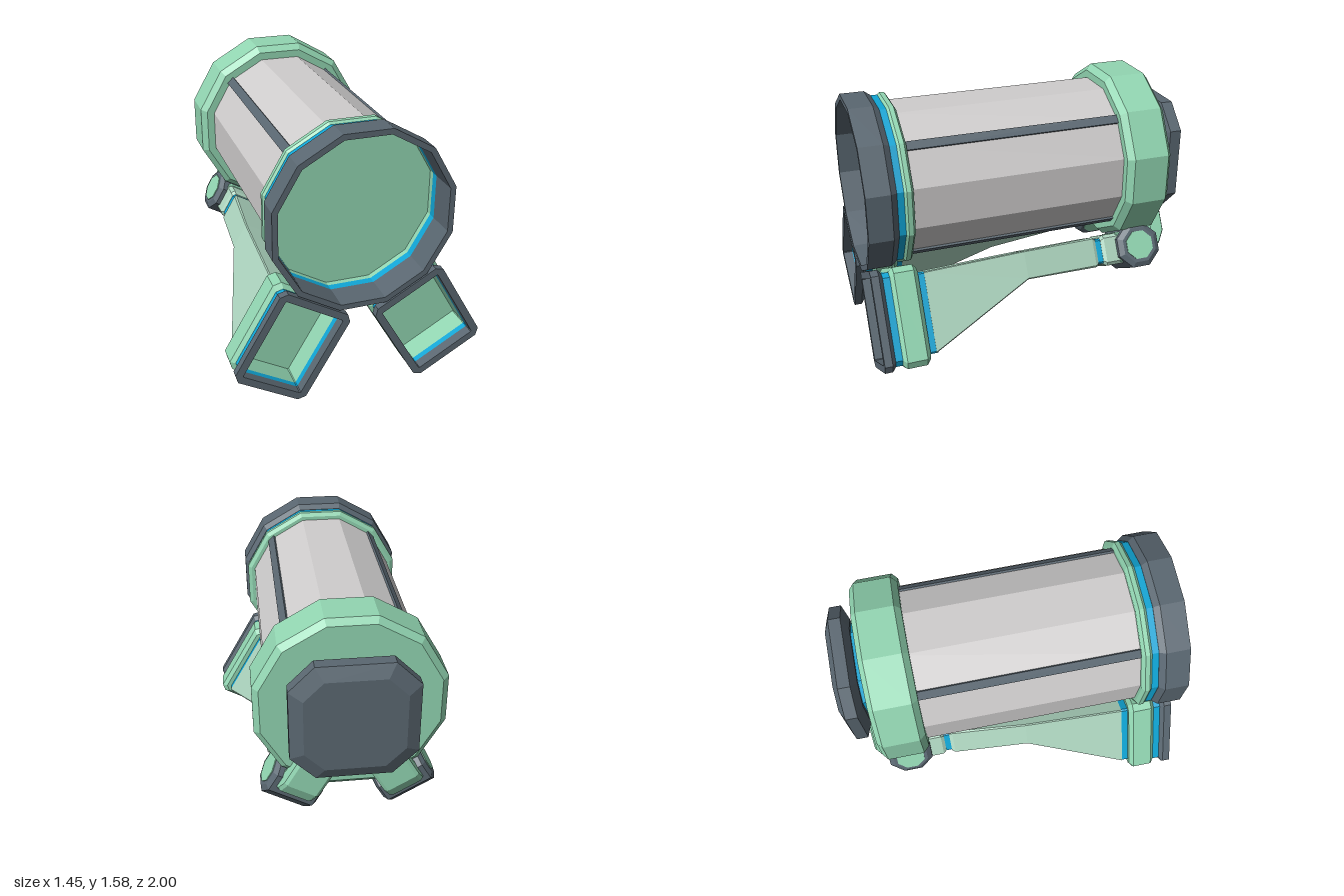
import * as THREE from 'three';

const mat = (name, color) => Object.assign(new THREE.MeshStandardMaterial({ color }), { name });

// Chamfered rectangle, counter-clockwise seen from +z
function chamferRing(hx, hy, c) {
  return [[hx, -hy + c], [hx, hy - c], [hx - c, hy], [-hx + c, hy],
    [-hx, hy - c], [-hx, -hy + c], [-hx + c, -hy], [hx - c, -hy]];
}

// Regular polygon with flat top, sized by its apothem
function polyRing(apothem, sides) {
  const r = apothem / Math.cos(Math.PI / sides);
  return Array.from({ length: sides }, (_, i) => {
    const a = (i + 0.5) * 2 * Math.PI / sides;
    return [r * Math.cos(a), r * Math.sin(a)];
  });
}

// Flat-shaded skin through rings of equal point count: [{ z, ring, cy }]
function loft(sections) {
  const pos = [];
  const put = (s, i) => {
    const p = s.ring[i % s.ring.length];
    pos.push(p[0], p[1] + (s.cy || 0), s.z);
  };
  for (let k = 0; k + 1 < sections.length; k++) {
    const a = sections[k], b = sections[k + 1];
    for (let i = 0; i < a.ring.length; i++) {
      put(a, i); put(a, i + 1); put(b, i + 1);
      put(a, i); put(b, i + 1); put(b, i);
    }
  }
  const g = new THREE.BufferGeometry();
  g.setAttribute('position', new THREE.Float32BufferAttribute(pos, 3));
  g.computeVertexNormals();
  return g;
}

const poly = list => loft(list.map(([z, a]) => ({ z, ring: polyRing(a, 12) })));
const rect = list => loft(list.map(([z, hx, hy, c, cy]) => ({ z, ring: chamferRing(hx, hy, c), cy })));

export function createModel() {
  const green = mat('mint green', 0x92d6b2);
  const pale = mat('pale green', 0xaed6c0);
  const dark = mat('slate', 0x5a6771);
  const grey = mat('light grey', 0xcfcdcd);
  const blue = mat('bright blue', 0x10a6d6);

  const model = new THREE.Group();
  model.name = 'model';
  const add = (parent, name, geo, m) => {
    const mesh = new THREE.Mesh(geo, m);
    mesh.name = name;
    parent.add(mesh);
    return mesh;
  };

  // Barrel: twelve-sided, along z
  const barrel = new THREE.Group();
  barrel.name = 'barrel';
  barrel.position.y = 1.05;
  model.add(barrel);
  add(barrel, 'barrelBody', poly([[-0.6, 0], [-0.6, 0.45], [0.74, 0.45], [0.74, 0]]), grey);
  add(barrel, 'frontRim', poly([[0.825, 0.478], [0.825, 0.485], [0.86, 0.51], [1, 0.51], [1, 0.478], [0.83, 0.478]]), dark);
  add(barrel, 'frontBlueBand', poly([[0.78, 0.483], [0.83, 0.483], [0.83, 0.478], [0.785, 0.478]]), blue);
  add(barrel, 'frontCollar', poly([[0.73, 0], [0.73, 0.472], [0.745, 0.495], [0.772, 0.495], [0.787, 0.482],
    [0.787, 0.478], [0.752, 0.478], [0.752, 0]]), green);
  add(barrel, 'rearCollar', poly([[-0.82, 0], [-0.82, 0.495], [-0.79, 0.53], [-0.575, 0.53], [-0.54, 0.495],
    [-0.54, 0.44]]), green);

  // Dark strips along four barrel edges
  for (let i = 0; i < 4; i++) {
    const a = Math.PI / 4 + i * Math.PI / 2;
    const strip = add(barrel, 'barrelStrip', new THREE.BoxGeometry(0.03, 0.052, 1.29), dark);
    strip.position.set(0.457 * Math.cos(a), 0.457 * Math.sin(a), 0.09);
    strip.rotation.z = a;
  }

  // Rear knob
  add(barrel, 'knobNeck', rect([[-0.87, 0.25, 0.25, 0.1], [-0.8, 0.25, 0.25, 0.1]]), blue);
  add(barrel, 'knob', rect([[-1, 0, 0, 0], [-1, 0.275, 0.275, 0.11], [-0.965, 0.35, 0.35, 0.14],
    [-0.895, 0.35, 0.35, 0.14], [-0.86, 0.275, 0.275, 0.11], [-0.86, 0, 0, 0]]), dark);

  // Rear arm outline in the z-y plane, from the hinge up to the knob
  const outline = [[-0.56, 0.19], [-0.74, 0.19], [-0.8, 0.25], [-0.84, 0.27], [-0.878, 0.34],
    [-0.878, 0.57], [-0.862, 0.64], [-0.8, 0.66], [-0.8, 0.36], [-0.56, 0.36]];
  const armShape = new THREE.Shape(outline.map(([z, y]) => new THREE.Vector2(-z, y)));
  const armGeo = new THREE.ExtrudeGeometry(armShape, {
    depth: 0.18, bevelEnabled: true, bevelSegments: 1, bevelSize: 0.012, bevelThickness: 0.02,
  });
  armGeo.translate(0, 0, -0.09).rotateY(Math.PI / 2);

  // Two legs, each leaning outwards around the z axis
  for (const side of [1, -1]) {
    const leg = new THREE.Group();
    leg.name = side > 0 ? 'leftLeg' : 'rightLeg';
    leg.rotation.z = side * Math.PI / 6;
    leg.position.set(side * 0.522 * Math.cos(Math.PI / 6), 0.261, 0);
    model.add(leg);
    const cy = 0.102;

    // Hollow foot
    add(leg, 'footRim', rect([[0.93, 0.187, 0.247, 0.01, cy], [0.93, 0.205, 0.264, 0.03, cy],
      [0.955, 0.23, 0.289, 0.035, cy], [1, 0.23, 0.289, 0.035, cy],
      [1, 0.187, 0.247, 0.005, cy], [0.94, 0.187, 0.247, 0.005, cy]]), dark);
    add(leg, 'footBlueBand', rect([[0.885, 0.208, 0.266, 0.03, cy], [0.94, 0.208, 0.266, 0.03, cy],
      [0.94, 0.187, 0.247, 0.005, cy], [0.905, 0.187, 0.247, 0.005, cy]]), blue);
    add(leg, 'foot', rect([[0.73, 0, 0, 0, cy], [0.73, 0.205, 0.264, 0.03, cy], [0.755, 0.23, 0.289, 0.035, cy],
      [0.87, 0.23, 0.289, 0.035, cy], [0.895, 0.205, 0.264, 0.03, cy], [0.905, 0.187, 0.247, 0.005, cy],
      [0.77, 0.187, 0.247, 0.005, cy], [0.77, 0, 0, 0, cy]]), green);
    add(leg, 'legBlueBand', rect([[0.68, 0.178, 0.235, 0.01, cy], [0.74, 0.178, 0.235, 0.01, cy]]), blue);

    // Tapered strut
    add(leg, 'legStrut', rect([[-0.415, 0, 0, 0, 0.272], [-0.415, 0.1, 0.083, 0.01, 0.272],
      [-0.395, 0.11, 0.093, 0.01, 0.272], [0.07, 0.16, 0.086, 0.006, 0.27],
      [0.69, 0.18, 0.235, 0.006, cy], [0.69, 0, 0, 0, cy]]), pale);
    add(leg, 'strutBlueBand', rect([[-0.47, 0.098, 0.078, 0.012, 0.272], [-0.4, 0.098, 0.078, 0.012, 0.272]]), blue);
    add(leg, 'strutEnd', rect([[-0.58, 0.112, 0.096, 0.02, 0.272], [-0.47, 0.112, 0.096, 0.02, 0.272],
      [-0.45, 0.1, 0.083, 0.02, 0.272], [-0.45, 0, 0, 0, 0.272]]), pale);

    // Hinge barrel with a green plate on each end
    const section = (z, a) => ({ z, ring: polyRing(a, 8) });
    const hinge = new THREE.Group();
    hinge.name = 'hinge';
    hinge.rotation.y = Math.PI / 2;
    hinge.position.set(0, 0.272, -0.68);
    leg.add(hinge);
    add(hinge, 'hingeBarrel', loft([section(-0.16, 0), section(-0.16, 0.105), section(-0.14, 0.135),
      section(0.14, 0.135), section(0.16, 0.105), section(0.16, 0)]), dark);
    add(hinge, 'hingePlate', loft([section(-0.165, 0), section(-0.165, 0.085),
      section(0.165, 0.085), section(0.165, 0)]), green);

    add(leg, 'rearArm', armGeo, green);
  }
  return model;
}
